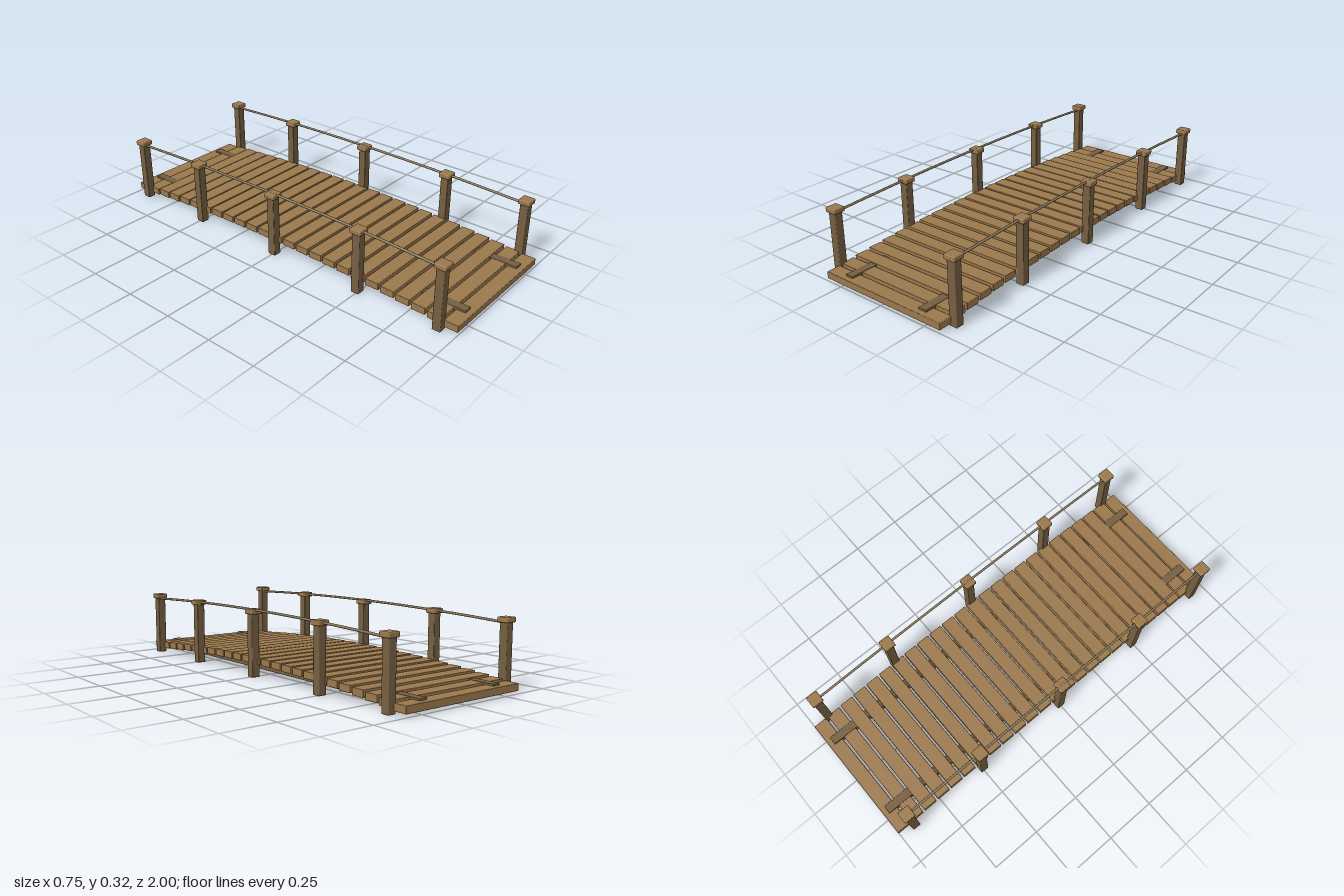
import * as THREE from 'three';
import { RoundedBoxGeometry } from 'three/addons/geometries/RoundedBoxGeometry.js';

const paint = (color) => new THREE.MeshStandardMaterial({ color });

export function createModel() {
  const bridge = new THREE.Group();
  bridge.name = 'footbridge';
  const plankWood = paint(0x9b784c);
  const postWood = paint(0x755f42);
  const railWood = paint(0x8a7858);

  // Softly rounded timber, placed by its centre
  const timber = (name, w, h, d, x, y, z, material, radius = 0.004) => {
    const mesh = new THREE.Mesh(new RoundedBoxGeometry(w, h, d, 2, radius), material);
    mesh.name = name;
    mesh.position.set(x, y, z);
    bridge.add(mesh);
  };

  // Deck of planks rising in a shallow arch
  const planks = 25;
  const endZ = 0.965;
  for (let i = 0; i < planks; i++) {
    const t = (2 * i) / (planks - 1) - 1;
    const y = 0.03 + 0.045 * (1 - t * t);
    timber('deckPlank', 0.67, 0.034, 0.07, 0, y, t * endZ, plankWood, 0.003);
  }

  for (const side of [-1, 1]) {
    const x = side * 0.345;

    // Straight beam under the deck, showing above the end planks
    timber('beam', 0.042, 0.046, 1.95, side * 0.218, 0.033, 0, postWood, 0.002);

    // Posts with square caps
    for (const z of [-0.915, -0.495, 0, 0.495, 0.915]) {
      timber('post', 0.041, 0.302, 0.041, x, 0.151, z, postWood);
      timber('postCap', 0.058, 0.024, 0.058, x, 0.31, z, plankWood, 0.005);
    }

    // Thin arched handrail
    const points = [];
    for (let i = 0; i <= 8; i++) {
      const t = i / 4 - 1;
      points.push(new THREE.Vector3(x, 0.296 + 0.0215 * (1 - t * t), t * 0.915));
    }
    const rail = new THREE.Mesh(
      new THREE.TubeGeometry(new THREE.CatmullRomCurve3(points), 32, 0.006, 8), railWood);
    rail.name = 'handrail';
    bridge.add(rail);
  }
  return bridge;
}
